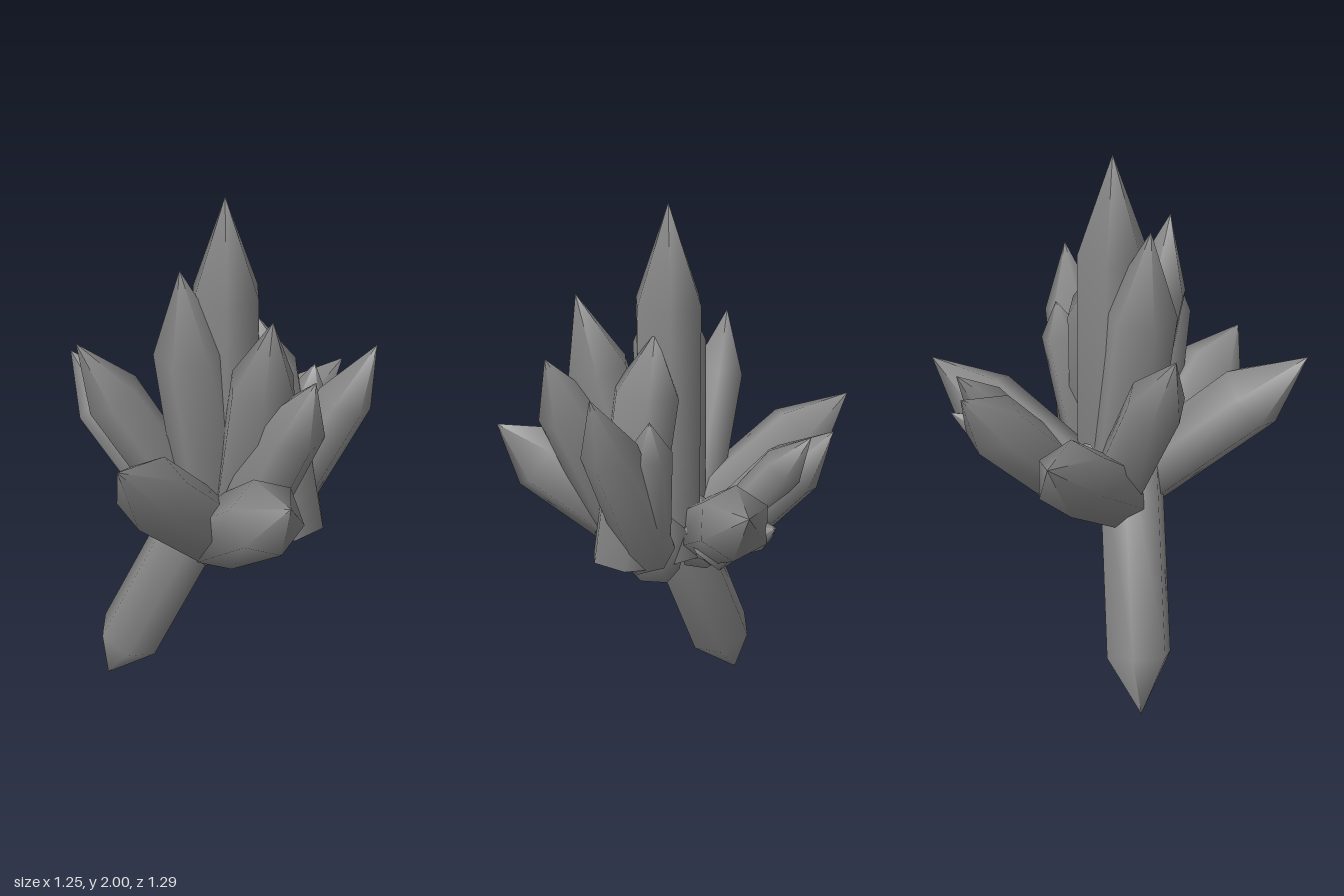
import * as THREE from 'three';

const UP = new THREE.Vector3(0, 1, 0);
const material = new THREE.MeshStandardMaterial({ color: 0x888888 });

// Six-sided crystal: straight shaft from base, pointed cap ending at tip.
// sharpness is the cap length in radii; edgeOn turns an edge to the side.
function crystal(name, base, tip, radius, sharpness, edgeOn) {
  const axis = tip.clone().sub(base);
  const length = axis.length();
  const profile = [
    new THREE.Vector2(0, 0),
    new THREE.Vector2(radius * 0.97, 0),
    new THREE.Vector2(radius, length - radius * sharpness),
    new THREE.Vector2(0, length),
  ];
  const geometry = new THREE.LatheGeometry(profile, 6);
  if (edgeOn) geometry.rotateY(Math.PI / 6);
  const mesh = new THREE.Mesh(geometry, material);
  mesh.name = name;
  mesh.position.copy(base);
  mesh.quaternion.setFromUnitVectors(UP, axis.normalize());
  return mesh;
}

export function createModel() {
  const group = new THREE.Group();
  group.name = 'crystalCluster';
  const at = (x, y, z) => new THREE.Vector3(x, y, z);
  const grow = (...args) => group.add(crystal(...args));

  // Shared roots of neighbouring crystals
  const rightRoot = at(0.15, 0.77, 0.11);
  const backRoot = at(0.1, 0.77, -0.1);

  // Tall middle
  grow('mainCrystal', at(-0.02, 0.7, 0.03), at(-0.03, 2, 0.03), 0.127, 2.75, true);
  grow('leftSpire', at(-0.06, 0.7, 0.02), at(-0.2, 1.77, 0.02), 0.13, 2.4, false);
  grow('frontSpire', at(-0.01, 0.72, 0.1), at(-0.04, 1.68, 0.35), 0.12, 2.3, true);
  grow('frontLowerSpire', at(-0.07, 0.74, 0.17), at(0.06, 1.48, 0.46), 0.115, 1.9, false);
  grow('stoutCrystal', at(0.155, 0.75, 0.2), at(0.06, 1.57, 0.08), 0.125, 1.7, true);

  // Right side
  grow('rightCrystal', rightRoot, at(0.41, 1.46, 0.31), 0.1, 2.4, false);
  grow('rightSmallCrystal', rightRoot, at(0.29, 1.33, 0.11), 0.08, 1.6, false);
  grow('sideCrystal', at(-0.04, 0.77, -0.12), at(0.625, 1.12, -0.2), 0.13, 2, true);
  grow('sideSmallCrystal', backRoot, at(0.44, 1, -0.31), 0.06, 2, false);

  // Back
  grow('backRightCrystal', backRoot, at(0.18, 1.24, -0.53), 0.115, 1.75, false);
  grow('backRightSmallCrystal', backRoot, at(0.28, 1.26, -0.44), 0.075, 2.1, true);
  grow('backCrystal', at(-0.13, 0.77, -0.08), at(-0.295, 1.2, -0.645), 0.13, 1.85, true);

  // Left side and front
  grow('backLeftCrystal', at(-0.1, 0.75, -0.05), at(-0.48, 1.47, -0.21), 0.105, 2.3, true);
  grow('farLeftCrystal', at(-0.1, 0.74, 0.09), at(-0.63, 1.3, 0.36), 0.13, 2, false);
  grow('frontCrystal', at(-0.11, 0.75, 0.12), at(-0.15, 1.16, 0.645), 0.135, 1.5, false);

  // Downward root that the cluster stands on
  grow('rootCrystal', at(-0.1, 0.9, 0.05), at(-0.39, 0, -0.25), 0.123, 1.8, false);

  // Short stubs filling the rough underside
  grow('frontStub', at(0.03, 0.66, 0.09), at(0.1, 0.95, 0.06), 0.1, 1.2, false);
  grow('backStub', at(-0.04, 0.67, -0.1), at(0, 0.95, -0.05), 0.09, 1.2, true);

  return group;
}
